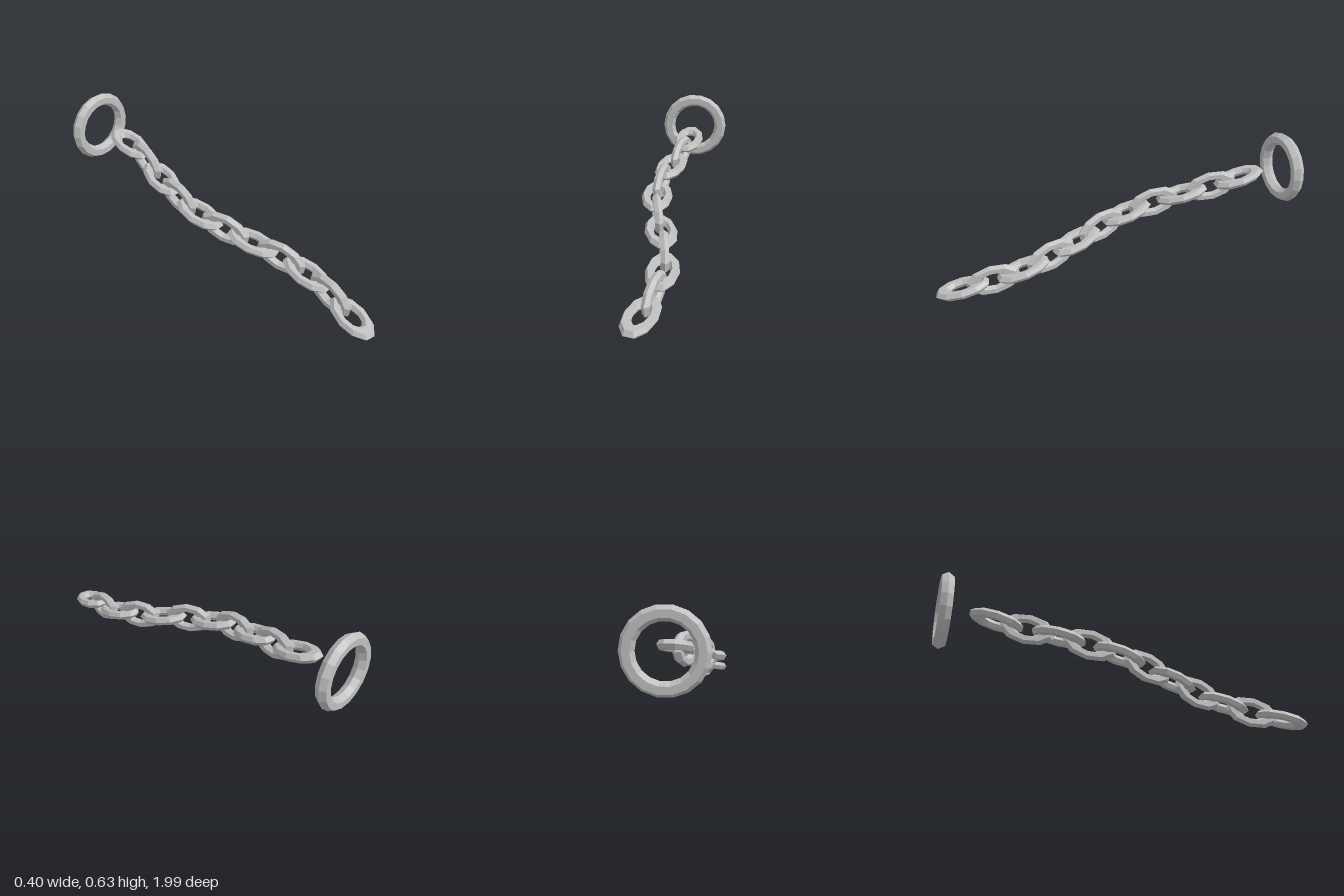
import * as THREE from 'three';

const LINKS = 11;

// Path of the chain: a gentle sideways wave that climbs steadily towards the back
const pathPoint = (i) => new THREE.Vector3(
  -0.062 + 0.056 * Math.sin(0.75 * i),
  0.053 + 0.0368 * i,
  0.855 - 0.1557 * i
);

export function createModel() {
  const model = new THREE.Group();
  model.name = 'chainWithRing';

  const steel = new THREE.MeshStandardMaterial({ color: 0xbfbfbf, flatShading: true });
  steel.name = 'greySteel';

  // Chain links: stretched hexagonal rings, lying flat and upright in turn
  const flatLink = new THREE.TorusGeometry(0.06, 0.024, 6, 10);
  flatLink.rotateX(Math.PI / 2).scale(1, 1, 1.75);
  const uprightLink = flatLink.clone().rotateZ(Math.PI / 2);

  const chain = new THREE.Group();
  chain.name = 'chain';
  for (let i = 0; i < LINKS; i++) {
    const upright = i % 2 === 1;
    const link = new THREE.Mesh(upright ? uprightLink : flatLink, steel);
    link.name = upright ? 'uprightLink' : 'flatLink';
    link.position.copy(pathPoint(i));
    // Aim along the local direction of the path
    const ahead = pathPoint(i - 0.1).sub(pathPoint(i + 0.1));
    link.lookAt(ahead.add(link.position));
    chain.add(link);
  }
  model.add(chain);

  // Large ring standing behind the last link
  const ring = new THREE.Mesh(new THREE.TorusGeometry(0.16, 0.035, 6, 18), steel);
  ring.name = 'endRing';
  ring.position.set(0.003, 0.441, -0.968);
  model.add(ring);

  return model;
}
